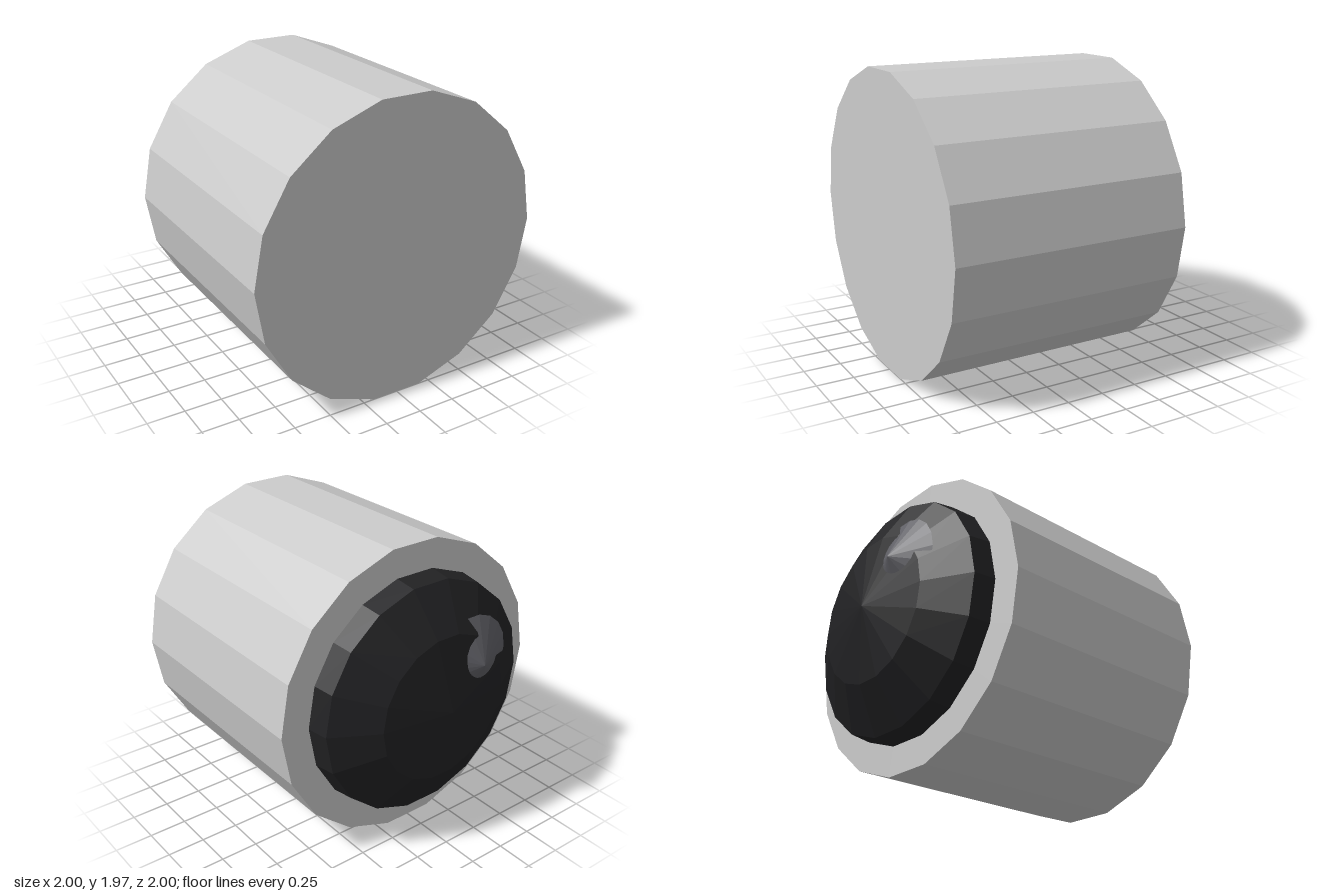
import * as THREE from 'three';

const SIDES = 18;
const CENTER_Y = Math.cos(Math.PI / SIDES); // rests on one flat facet

// Turn an upright solid so its top points backwards, with a corner at each side
function part(name, geometry, color, x, y, z) {
  geometry.rotateY(Math.PI / 2).rotateX(-Math.PI / 2);
  const mesh = new THREE.Mesh(
    geometry,
    new THREE.MeshStandardMaterial({ color, flatShading: true })
  );
  mesh.name = name;
  mesh.position.set(x, y, z);
  return mesh;
}

export function createModel() {
  const model = new THREE.Group();
  model.name = 'buttonNose';

  // Thick cylindrical body
  const body = new THREE.CylinderGeometry(1, 1, 1.61, SIDES);
  model.add(part('body', body, 0xcccccc, 0, CENTER_Y, 0.195));

  // Shallow dark dome on the back face
  const profile = [[0.805, 0], [0.785, 0.145], [0.49, 0.315], [0, 0.39]]
    .map(([r, h]) => new THREE.Vector2(r, h));
  const dome = new THREE.LatheGeometry(profile, SIDES);
  model.add(part('dome', dome, 0x222224, 0, CENTER_Y, -0.61));

  // Low cone mostly sunk into the dome as a glint
  const glint = new THREE.ConeGeometry(0.29, 0.125, SIDES);
  model.add(part('glint', glint, 0x606066, -0.25, 1.23, -0.9375));

  return model;
}
